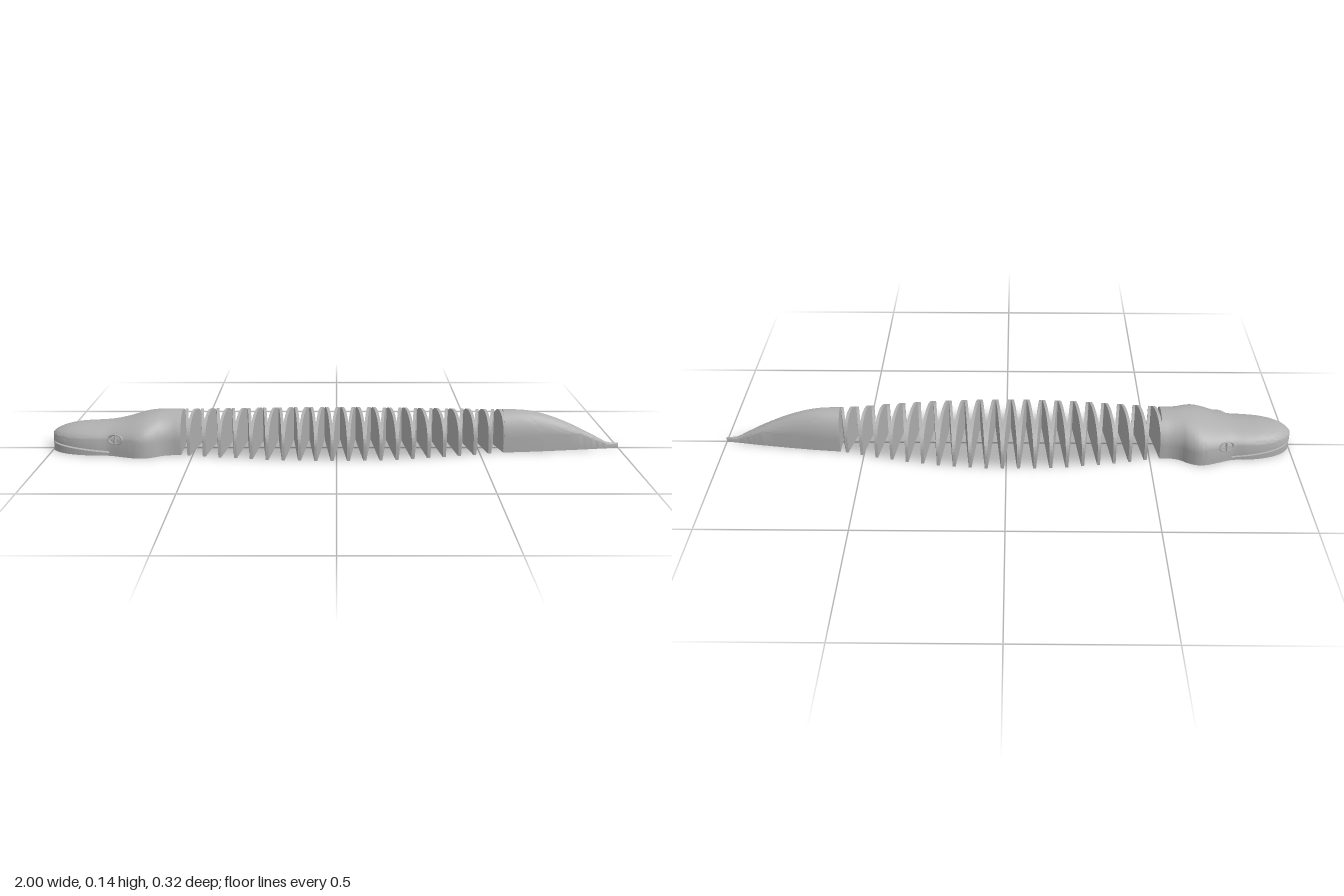
import * as THREE from 'three';
import { toCreasedNormals } from 'three/addons/utils/BufferGeometryUtils.js';

const grey = new THREE.MeshStandardMaterial({ color: 0xb0b0b0 });
grey.name = 'grey';

const named = (geometry, name) => {
  const m = new THREE.Mesh(geometry, grey);
  m.name = name;
  return m;
};

// Loft of flat-bottomed domed sections; stations are [x, height, half width]
function domeLoft(stations, count, mouthEnd = null) {
  const curve = new THREE.CatmullRomCurve3(stations.map(s => new THREE.Vector3(...s)));
  const rings = curve.getPoints(count).map(({ x, y: h, z: w }) => {
    const spring = Math.min(0.05, h * 0.7), pts = [];
    const side = [[w, 0]];
    if (mouthEnd !== null) {
      // mouth groove, fading out toward the cheek
      const t = Math.min(1, (x + 1) / (mouthEnd + 1));
      const m = 0.033 - 0.02 * t, open = t < 1 ? 1 : 0;
      side.push([w, m - 0.003], [w - open * Math.min(0.01, w * 0.5), m], [w, m + 0.003]);
    }
    for (const [z, y] of side) pts.push([x, y, z]);
    for (let k = 0; k <= 24; k++) {
      const a = k / 24 * Math.PI;
      pts.push([x, spring + (h - spring) * Math.sin(a), w * Math.cos(a)]);
    }
    for (const [z, y] of side.reverse()) pts.push([x, y, -z]);
    return pts;
  });
  const n = rings[0].length, last = (rings.length - 1) * n, index = [];
  for (let i = 0; i < rings.length - 1; i++) {
    for (let j = 0; j < n; j++) {
      const a = i * n + j, b = i * n + (j + 1) % n;
      index.push(a, a + n, b, b, a + n, b + n);
    }
  }
  for (let j = 1; j < n - 1; j++) {
    index.push(0, j, j + 1, last, last + j + 1, last + j);
  }
  const g = new THREE.BufferGeometry();
  g.setAttribute('position', new THREE.Float32BufferAttribute(rings.flat(2), 3));
  g.setIndex(index);
  return toCreasedNormals(g, 0.6);
}

// One slanted wall of the folded body, from z = -w0 or +w0 across to the other side
function foldWall(x0, x1, w0, w1, dir) {
  const wNeg = dir > 0 ? w0 : w1, wPos = dir > 0 ? w1 : w0, thick = 0.01;
  const shape = new THREE.Shape();
  shape.moveTo(-wNeg, 0);
  shape.lineTo(wPos, 0);
  for (let k = 0; k <= 24; k++) {
    const a = k / 24 * Math.PI, c = Math.cos(a);
    shape.lineTo(c * (c > 0 ? wPos : wNeg), 0.05 + 0.09 * Math.sin(a));
  }
  const g = new THREE.ExtrudeGeometry(shape, { depth: thick, bevelEnabled: false });
  g.rotateY(-Math.PI / 2); // shape x becomes z, depth becomes -x
  const p = g.attributes.position;
  for (let i = 0; i < p.count; i++) {
    const across = (p.getZ(i) + wNeg) / (wNeg + wPos);
    const t = dir > 0 ? across : 1 - across;
    p.setX(i, p.getX(i) + thick / 2 + x0 + (x1 - x0) * t);
  }
  g.computeVertexNormals();
  return g;
}

export function createModel() {
  const model = new THREE.Group();
  model.name = 'snake';

  // Head with mouth groove
  model.add(named(domeLoft([
    [-1, 0.06, 0.008], [-0.995, 0.066, 0.025], [-0.98, 0.076, 0.046], [-0.95, 0.087, 0.068],
    [-0.9, 0.095, 0.087], [-0.84, 0.098, 0.096], [-0.79, 0.102, 0.098], [-0.74, 0.111, 0.115],
    [-0.69, 0.125, 0.131], [-0.66, 0.133, 0.131], [-0.63, 0.138, 0.118], [-0.605, 0.14, 0.101],
    [-0.575, 0.14, 0.092], [-0.54, 0.14, 0.092],
  ], 72, -0.79), 'head'));

  // Eyes: oval rim with an upright slit pupil
  for (const s of [1, -1]) {
    const eye = new THREE.Group();
    eye.name = s > 0 ? 'leftEye' : 'rightEye';
    const rim = named(new THREE.TorusGeometry(0.024, 0.004, 8, 28), 'eyeRim');
    rim.scale.set(1.1, 0.68, 1);
    const pupil = named(new THREE.CylinderGeometry(0.005, 0.005, 0.032, 12), 'pupil');
    eye.add(rim, pupil);
    eye.position.set(-0.763, 0.06, s * 0.104);
    eye.rotation.order = 'YXZ';
    eye.rotation.y = s > 0 ? -0.32 : Math.PI + 0.32;
    eye.rotation.x = -0.15;
    model.add(eye);
  }

  // Zigzag body, widest in the middle
  const body = new THREE.Group();
  body.name = 'foldedBody';
  const outline = new THREE.CatmullRomCurve3([
    [-0.54, 0.092], [-0.4, 0.118], [-0.2, 0.149], [0, 0.158], [0.2, 0.146], [0.4, 0.108], [0.588, 0.058],
  ].map(([x, w]) => new THREE.Vector3(x, w, 0)));
  const folds = outline.getSpacedPoints(41);
  for (let i = 0; i < 41; i++) {
    const a = folds[i], b = folds[i + 1];
    body.add(named(foldWall(a.x, b.x, a.y, b.y, i % 2 ? -1 : 1), 'foldWall'));
  }
  model.add(body);

  // Tail tapering to a thin tip
  model.add(named(domeLoft([
    [0.585, 0.14, 0.06], [0.65, 0.139, 0.054], [0.7, 0.132, 0.048], [0.76, 0.115, 0.04],
    [0.82, 0.091, 0.031], [0.88, 0.062, 0.022], [0.93, 0.036, 0.013], [0.96, 0.021, 0.008], [1, 0.018, 0.002],
  ], 36), 'tail'));
  return model;
}
